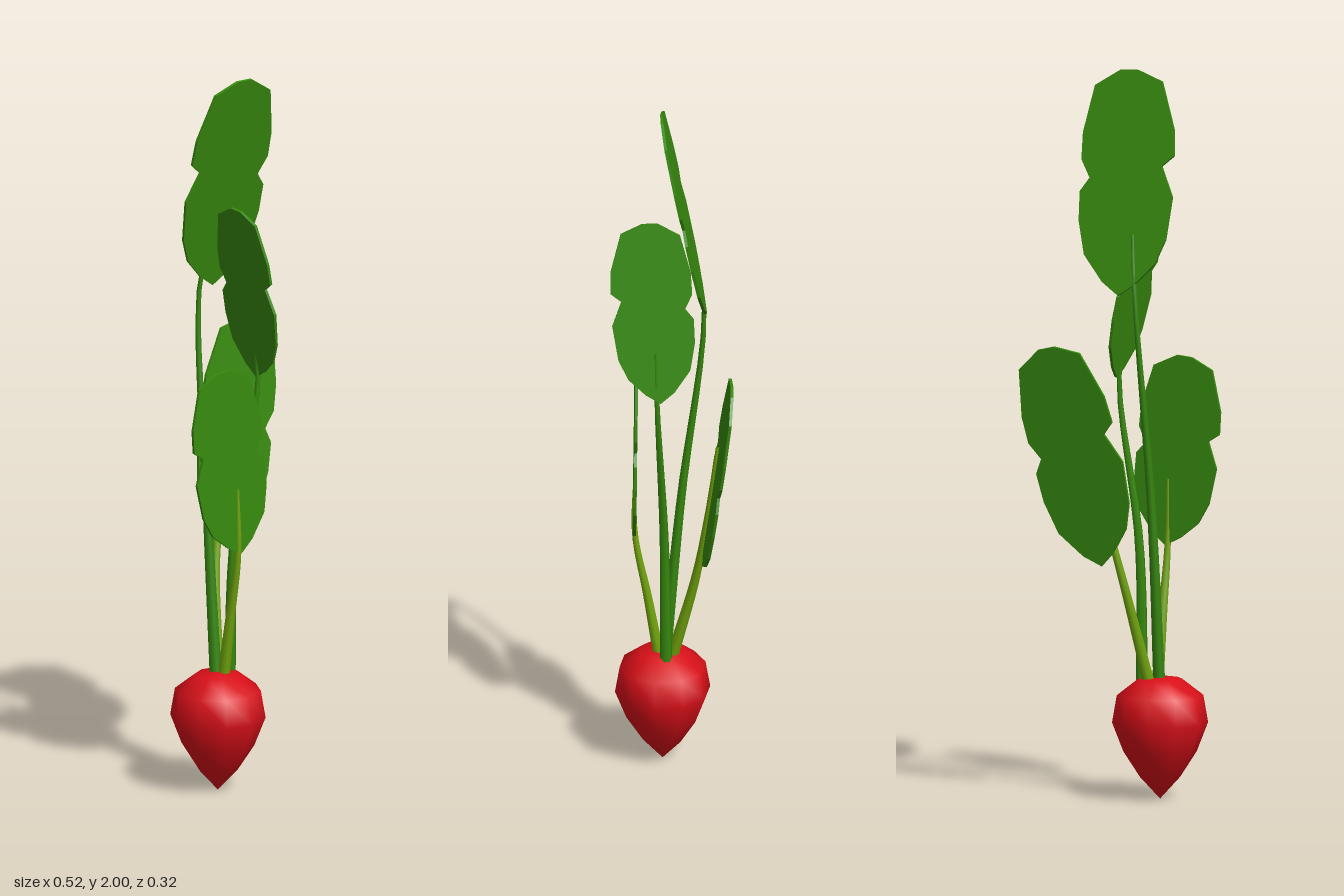
import * as THREE from 'three';

const V = (p) => new THREE.Vector3(...p);
const mat = (color) => new THREE.MeshStandardMaterial({ color, roughness: 0.9 });
const red = mat(0xd80f18), green = mat(0x378a0e), lime = mat(0x74a80e);

// Notched leaf outline: u is -1..1 across, v is 0..1 from base to tip
const OUTLINE = [
  [0.1, 0], [0.45, 0.06], [0.86, 0.18], [1, 0.33], [1, 0.46], [0.8, 0.52], [0.99, 0.6],
  [0.98, 0.72], [0.76, 0.93], [0.22, 1], [-0.15, 1], [-0.68, 0.95], [-0.97, 0.74],
  [-0.99, 0.62], [-0.74, 0.575], [-0.99, 0.44], [-0.88, 0.25], [-0.66, 0.14], [-0.25, 0.05],
];

const LEAVES = [
  { name: 'tall', base: [-0.035, 1.395, -0.1], tip: [-0.025, 2, 0.022], across: [1, 0, 0.12], half: 0.137,
    stem: [[-0.11, 0.32, 0], [-0.1, 0.8, -0.042], [-0.07, 1.38, -0.101], [-0.055, 1.56, -0.072]], color: green },
  { name: 'side', base: [0.02, 1.15, 0.042], tip: [-0.08, 1.65, 0.052], across: [0.15, 0, -1], half: 0.112,
    stem: [[-0.06, 0.32, 0.005], [-0.05, 0.7, 0.012], [0.015, 1.14, 0.04], [-0.005, 1.29, 0.04]], color: green },
  { name: 'back', base: [0.015, 0.65, -0.087], tip: [0.165, 1.25, -0.145], across: [0.95, -0.3, 0.13], half: 0.13,
    stem: [[-0.085, 0.32, -0.015], [-0.035, 0.58, -0.072], [0.012, 0.78, -0.097], [0.062, 1.03, -0.12]], color: lime },
  { name: 'front', base: [-0.115, 0.685, 0.085], tip: [-0.165, 1.21, 0.072], across: [1, 0.1, 0.13], half: 0.12,
    stem: [[-0.1, 0.32, 0.02], [-0.105, 0.5, 0.05], [-0.11, 0.69, 0.084], [-0.112, 0.87, 0.083]], color: lime },
];

// Thin flat blade lying in the plane given by its length and width directions
function makeBlade({ base, tip, across, half }) {
  const thick = 0.008;
  const along = V(tip).sub(V(base));
  const length = along.length();
  along.normalize();
  const side = V(across).addScaledVector(along, -V(across).dot(along)).normalize();
  const normal = new THREE.Vector3().crossVectors(side, along);
  const shape = new THREE.Shape(OUTLINE.map(([u, v]) => new THREE.Vector2(u * half, v * length)));
  const geo = new THREE.ExtrudeGeometry(shape, { depth: thick, bevelEnabled: false });
  geo.translate(0, 0, -thick / 2);
  geo.applyMatrix4(new THREE.Matrix4().makeBasis(side, along, normal).setPosition(V(base)));
  return new THREE.Mesh(geo, green);
}

// Stalk that narrows from the root to its end on the leaf
function makeStem({ stem, color }) {
  const curve = new THREE.CatmullRomCurve3(stem.map(V));
  const rings = 14, sides = 6, r0 = 0.017, r1 = 0.005;
  const geo = new THREE.TubeGeometry(curve, rings, 1, sides);
  const pos = geo.attributes.position, p = new THREE.Vector3();
  for (let i = 0; i < pos.count; i++) {
    const t = Math.floor(i / (sides + 1)) / rings;
    const c = curve.getPointAt(t);
    p.fromBufferAttribute(pos, i).sub(c).multiplyScalar(r0 + (r1 - r0) * t).add(c);
    pos.setXYZ(i, p.x, p.y, p.z);
  }
  const mesh = new THREE.Mesh(geo, color);
  return mesh;
}

export function createModel() {
  const model = new THREE.Group();
  model.name = 'rootVegetable';

  // Ten-sided pointed root
  const profile = [[0, 0], [0.055, 0.06], [0.1, 0.13], [0.131, 0.21], [0.118, 0.285], [0.06, 0.33], [0, 0.338]];
  const root = new THREE.Mesh(new THREE.LatheGeometry(profile.map((p) => new THREE.Vector2(...p)), 10), red);
  root.name = 'root';
  root.position.set(-0.11, 0, 0.008);
  model.add(root);

  // Leaves with their stalks
  for (const spec of LEAVES) {
    const leaf = new THREE.Group();
    leaf.name = spec.name + 'Leaf';
    const blade = makeBlade(spec);
    blade.name = spec.name + 'Blade';
    const stem = makeStem(spec);
    stem.name = spec.name + 'Stem';
    leaf.add(blade, stem);
    model.add(leaf);
  }
  return model;
}
